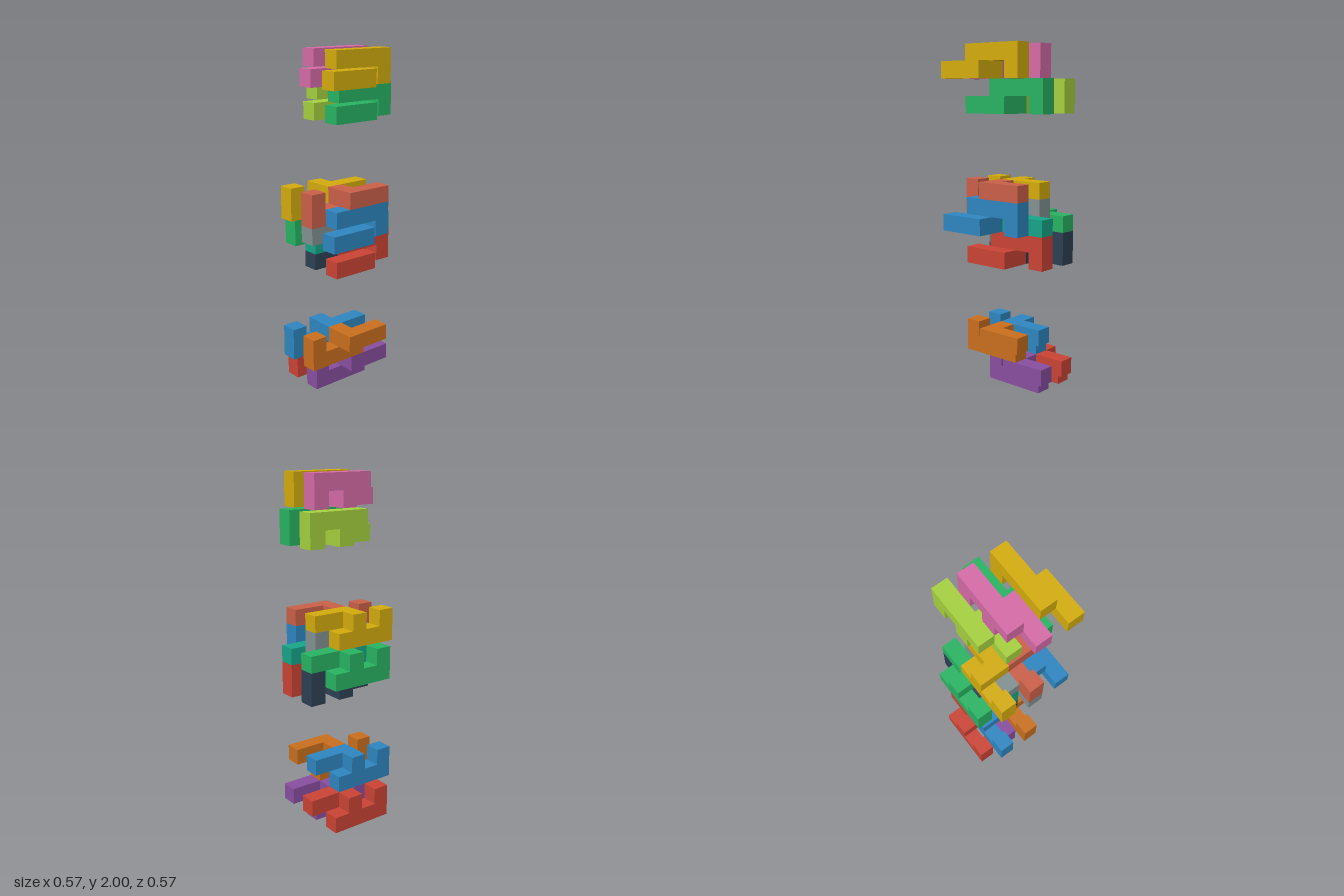
import * as THREE from 'three';
import { mergeGeometries } from 'three/addons/utils/BufferGeometryUtils.js';

const U = 2 / 21; // edge of one puzzle cell

// One notched burr piece: a bar with two feet, and a side bar joined to the second foot
function pieceGeometry() {
  const profile = new THREE.Shape([
    [0, 0], [1, 0], [1, 1], [2, 1], [2, 0], [3, 0], [3, 1], [4, 1], [4, 2], [0, 2],
  ].map(([z, y]) => new THREE.Vector2(z, y)));
  const bar = new THREE.ExtrudeGeometry(profile, { depth: 1, bevelEnabled: false });
  bar.rotateY(-Math.PI / 2).translate(1, 0, 0);
  const sideBar = new THREE.BoxGeometry(1, 1, 3).toNonIndexed().translate(1.5, 0.5, 3.5);
  return mergeGeometries([bar, sideBar]).scale(U, U, U);
}

export function createModel() {
  const model = new THREE.Group();
  model.name = 'burrPuzzle';
  const geometry = pieceGeometry();

  // Piece: name, x, y and z in cells, flipped, colour when apart, colour when assembled
  const pieces = [
    ['upperLeftPiece', 1, 10, -2, false, 0xd4ac0d, 0x2e86c1],
    ['upperRightPiece', -1, 10, -2, false, 0xd66ba8, 0x839192],
    ['lowerLeftPiece', 0, 8, -3, false, 0x28b463, 0xcb4335],
    ['lowerRightPiece', -2, 8, -3, false, 0xa6d13f, 0x2e4053],
    ['flippedUpperLeftPiece', 0, 11, 3, true, 0xca6f1e, 0xcb6049],
    ['flippedUpperRightPiece', -2, 11, 3, true, 0x2e86c1, 0xd4ac0d],
    ['flippedLowerLeftPiece', -1, 9, 2, true, 0x884ea0, 0x17a589],
    ['flippedLowerRightPiece', -3, 9, 2, true, 0xcb4335, 0x28b463],
  ];

  const assembled = new THREE.Group();
  assembled.name = 'assembledPuzzle';
  const upperHalf = new THREE.Group();
  upperHalf.name = 'upperHalf';
  upperHalf.position.y = 9 * U;
  const lowerHalf = new THREE.Group();
  lowerHalf.name = 'lowerHalf';
  lowerHalf.position.y = -9 * U;

  const addPiece = (parent, name, x, y, z, flipped, color) => {
    const mesh = new THREE.Mesh(geometry, new THREE.MeshStandardMaterial({ color }));
    mesh.name = name;
    if (flipped) mesh.rotation.x = Math.PI;
    mesh.position.set(x * U, (flipped ? y + 2 : y) * U, z * U);
    parent.add(mesh);
  };

  // Every piece appears in the assembled block and in its separated half
  for (const [name, x, y, z, flipped, apart, together] of pieces) {
    addPiece(assembled, name, x, y, z, flipped, together);
    addPiece(flipped ? lowerHalf : upperHalf, name, x, y, z, flipped, apart);
  }

  model.add(upperHalf, assembled, lowerHalf);
  return model;
}
